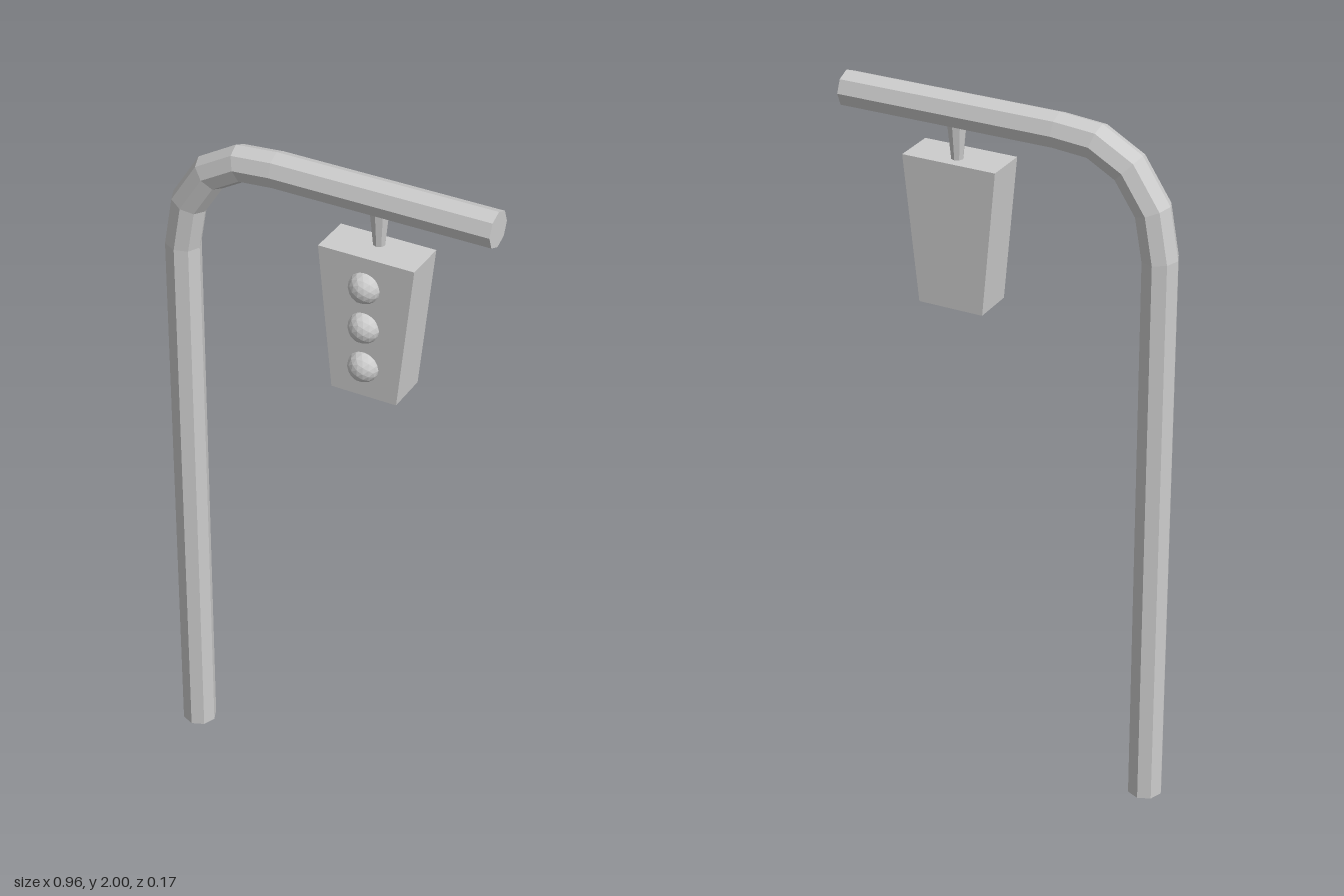
import * as THREE from 'three';

const SIDES = 8;
const POLE_Z = -0.035;

// Faceted pipe swept along a path in the xy plane, mitred at each bend, capped at both ends
function pipeGeometry(path, radius, z) {
  const positions = [];
  const index = [];
  const dirs = path.slice(1).map((p, i) => p.clone().sub(path[i]).normalize());
  path.forEach((p, i) => {
    const a = dirs[Math.max(i - 1, 0)];
    const b = dirs[Math.min(i, dirs.length - 1)];
    const t = a.clone().add(b).normalize();
    const miter = radius / t.dot(a);
    for (let k = 0; k < SIDES; k++) {
      const angle = (k / SIDES) * Math.PI * 2;
      const s = Math.cos(angle) * miter;
      positions.push(p.x + t.y * s, p.y - t.x * s, z + Math.sin(angle) * radius);
    }
  });
  const last = (path.length - 1) * SIDES;
  for (let r = 0; r < last; r += SIDES) {
    for (let k = 0; k < SIDES; k++) {
      const n = (k + 1) % SIDES;
      index.push(r + k, r + SIDES + k, r + n, r + n, r + SIDES + k, r + SIDES + n);
    }
  }
  for (let k = 1; k < SIDES - 1; k++) {
    index.push(0, k, k + 1, last, last + k + 1, last + k);
  }
  const geometry = new THREE.BufferGeometry();
  geometry.setAttribute('position', new THREE.Float32BufferAttribute(positions, 3));
  geometry.setIndex(index);
  const flat = geometry.toNonIndexed();
  flat.computeVertexNormals();
  return flat;
}

// Give a geometry hard facets
function faceted(geometry) {
  const flat = geometry.index ? geometry.toNonIndexed() : geometry;
  flat.computeVertexNormals();
  return flat;
}

export function createModel() {
  const group = new THREE.Group();
  const grey = new THREE.MeshStandardMaterial({ color: 0xcccccc });
  grey.name = 'light grey';

  function add(name, geometry, x = 0, y = 0, z = 0) {
    const mesh = new THREE.Mesh(geometry, grey);
    mesh.name = name;
    mesh.position.set(x, y, z);
    group.add(mesh);
    return mesh;
  }

  // Upright pole bending into the horizontal arm
  const path = [
    [-0.43, 0], [-0.43, 1.655], [-0.407, 1.785], [-0.34, 1.888],
    [-0.247, 1.941], [-0.14, 1.95], [0.48, 1.95],
  ].map(([x, y]) => new THREE.Vector2(x, y));
  add('pole', pipeGeometry(path, 0.05, POLE_Z));

  // Tapered hanger between arm and housing
  add('hanger', faceted(new THREE.CylinderGeometry(0.027, 0.016, 0.11, SIDES)), 0.153, 1.865, POLE_Z);

  // Signal housing, narrower at the bottom
  const outline = new THREE.Shape([
    new THREE.Vector2(0.06, 1.4), new THREE.Vector2(0.25, 1.4),
    new THREE.Vector2(0.293, 1.815), new THREE.Vector2(0.02, 1.815),
  ]);
  add('housing', new THREE.ExtrudeGeometry(outline, { depth: 0.123, bevelEnabled: false }), 0, 0, -0.078);

  // Three round lamps on the front
  ['upperLamp', 'middleLamp', 'lowerLamp'].forEach((name, i) => {
    add(name, faceted(new THREE.IcosahedronGeometry(0.045, 2)), 0.153, 1.728 - i * 0.119, 0.038);
  });

  return group;
}
